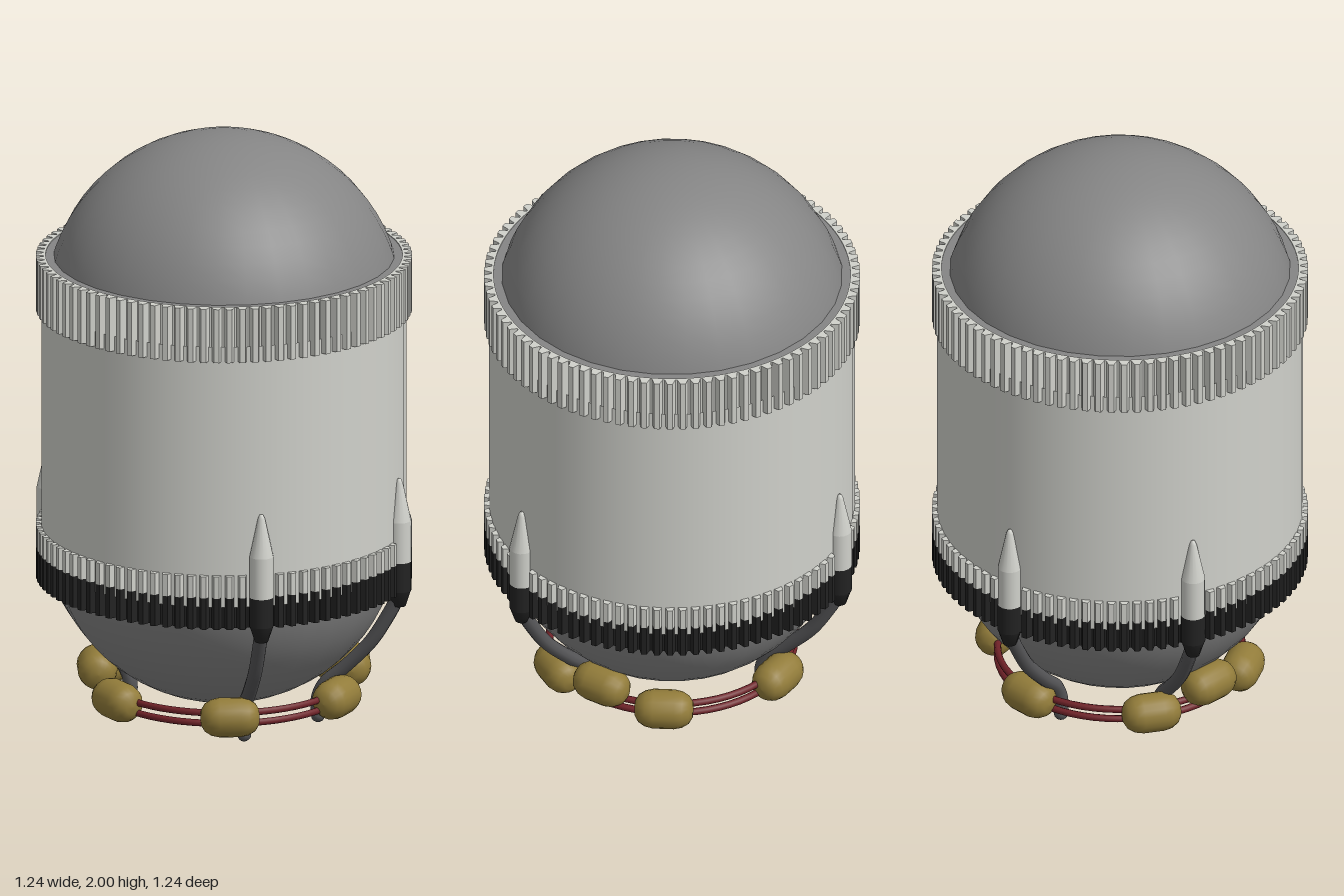
import * as THREE from 'three';

const mat = (name, color, extra = {}) =>
  Object.assign(new THREE.MeshStandardMaterial({ color, ...extra }), { name });

export function createModel() {
  const white = mat('panel white', 0xd0d1cb);
  const grey = mat('dome grey', 0x858585);
  const black = mat('band black', 0x222222);
  const pipeGrey = mat('pipe grey', 0x555557);
  const gold = mat('tank gold', 0x927c3a);
  const red = mat('ring red', 0x702228);

  const model = new THREE.Group();
  model.name = 'tankModule';
  const add = (name, geo, material, parent = model) => {
    const mesh = new THREE.Mesh(geo, material);
    mesh.name = name;
    parent.add(mesh);
    return mesh;
  };

  // Main cylinder and its closing discs
  add('hull', new THREE.CylinderGeometry(0.605, 0.605, 0.9, 48, 1, true), white).position.y = 1.0;
  const rim = add('topRim', new THREE.CylinderGeometry(0.594, 0.594, 0.1, 48), grey);
  rim.position.y = 1.532;
  const under = add('bottomRim', new THREE.CylinderGeometry(0.594, 0.594, 0.1, 48), grey);
  under.position.y = 0.528;

  // Upper and lower domes, cut from spheres
  const domeAngle = 1.9;
  add('upperDome', new THREE.SphereGeometry(0.59, 32, 20, 0, Math.PI * 2, 0, domeAngle), grey).position.y = 1.41;
  const lower = add('lowerDome', new THREE.SphereGeometry(0.59, 32, 20, 0, Math.PI * 2, 0, domeAngle), grey);
  lower.rotation.x = Math.PI;
  lower.position.y = 0.65;

  // Toothed bands
  const teeth = 90;
  const toothBand = (name, y0, y1, material) => {
    const shape = new THREE.Shape();
    const profile = [[-0.42, 0.597], [-0.2, 0.622], [0.2, 0.622], [0.42, 0.597]];
    for (let i = 0; i < teeth; i++) {
      for (const [t, r] of profile) {
        const a = ((i + t) / teeth) * Math.PI * 2;
        const [x, y] = [r * Math.cos(a), r * Math.sin(a)];
        if (i === 0 && t === profile[0][0]) shape.moveTo(x, y);
        else shape.lineTo(x, y);
      }
    }
    shape.closePath();
    shape.holes.push(new THREE.Path().absarc(0, 0, 0.59, 0, Math.PI * 2, true));
    const geo = new THREE.ExtrudeGeometry(shape, { depth: y1 - y0, bevelEnabled: false, curveSegments: 48 });
    geo.rotateX(-Math.PI / 2);
    add(name, geo, material).position.y = y0;
  };
  toothBand('upperToothBand', 1.4, 1.585, white);
  toothBand('lowerToothBand', 0.585, 0.66, white);
  toothBand('blackToothBand', 0.477, 0.585, black);

  // Four side pods with pipes that hug the lower dome
  const v2 = (pts) => pts.map(([x, y]) => new THREE.Vector2(x, y));
  const noseProfile = v2([[0.04, 0.58], [0.04, 0.725]]);
  const coneProfile = v2([[0.04, 0.725], [0.012, 0.855], [0.006, 0.868], [0, 0.87]]);
  const baseProfile = v2([[0, 0.43], [0.022, 0.43], [0.04, 0.485]]);
  const sleeveProfile = v2([[0.041, 0.485], [0.041, 0.585]]);
  const pipePath = new THREE.CatmullRomCurve3(
    [[0.607, 0.46], [0.57, 0.39], [0.51, 0.295], [0.42, 0.2], [0.35, 0.135], [0.327, 0.08], [0.327, 0.024]]
      .map(([r, y]) => new THREE.Vector3(r, y, 0)));
  for (const deg of [30, 150, 210, 330]) {
    const pod = new THREE.Group();
    pod.name = 'sidePod';
    pod.rotation.y = THREE.MathUtils.degToRad(deg);
    model.add(pod);
    for (const [name, profile, material] of [
      ['podBody', noseProfile, white], ['podNose', coneProfile, white],
      ['podBase', baseProfile, black], ['podSleeve', sleeveProfile, black]]) {
      add(name, new THREE.LatheGeometry(profile, 16), material, pod).position.x = 0.61;
    }
    add('pipe', new THREE.TubeGeometry(pipePath, 32, 0.024, 10), pipeGrey, pod);
    add('pipeTip', new THREE.SphereGeometry(0.024, 10, 8), pipeGrey, pod).position.set(0.327, 0.024, 0);
  }

  // Twin ring lines below the dome
  for (const y of [0.087, 0.123]) {
    const ring = add('ringLine', new THREE.TorusGeometry(0.405, 0.012, 8, 64), red);
    ring.rotation.x = Math.PI / 2;
    ring.position.y = y;
  }

  // Six small tanks spaced round the ring, plus an opposite raised pair
  const tankGeo = new THREE.LatheGeometry(v2([
    [0, -0.098], [0.025, -0.096], [0.046, -0.084], [0.06, -0.062], [0.066, -0.035],
    [0.066, 0.035], [0.06, 0.062], [0.046, 0.084], [0.025, 0.096], [0, 0.098]]), 20);
  tankGeo.rotateX(Math.PI / 2);
  const tanks = [39, 99, 159, 219, 279, 339].map((d) => [d, 0.113]);
  tanks.push([129, 0.165], [309, 0.165]);
  for (const [deg, y] of tanks) {
    const a = THREE.MathUtils.degToRad(deg);
    const tank = add('smallTank', tankGeo, gold);
    tank.position.set(0.42 * Math.cos(a), y, 0.42 * Math.sin(a));
    tank.rotation.y = -a;
  }
  return model;
}
